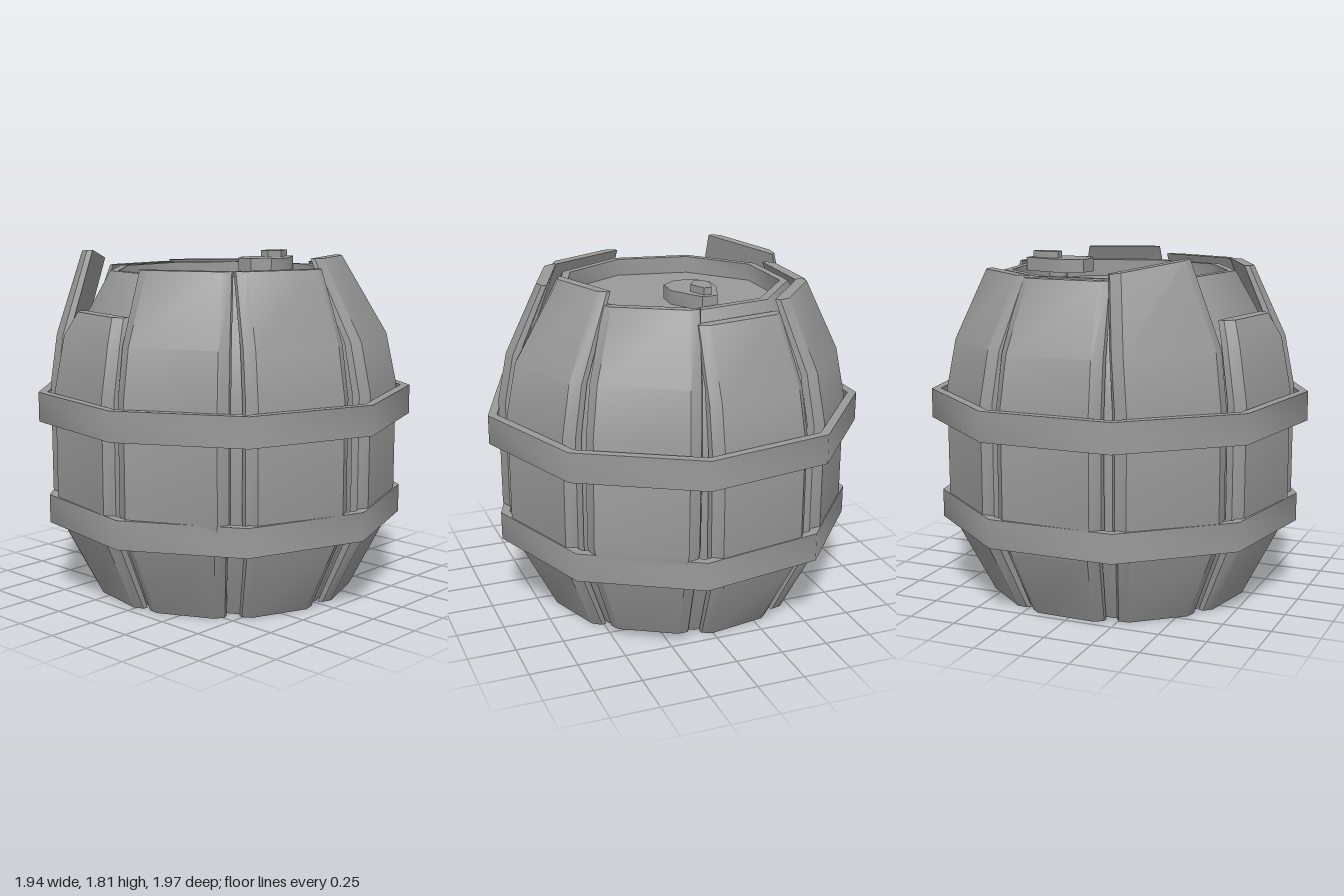
import * as THREE from 'three';
import { toCreasedNormals } from 'three/addons/utils/BufferGeometryUtils.js';

const SIDES = 9;
const PIVOT = 0.8;
const HEIGHT = 1.74;
const material = new THREE.MeshStandardMaterial({ color: 0x9a9a9a });
const shellMaterial = new THREE.MeshStandardMaterial({ color: 0x9a9a9a, side: THREE.DoubleSide });

function addMesh(parent, name, geometry, mat = material, crease = 0.73) {
  const mesh = new THREE.Mesh(toCreasedNormals(geometry, crease), mat);
  mesh.name = name;
  parent.add(mesh);
  return mesh;
}

// Nine-sided shape of revolution; radii are given to the flat sides
function ninegon(profile) {
  const k = 1 / Math.cos(Math.PI / SIDES);
  const points = profile.map(([r, y]) => new THREE.Vector2(r * k, y));
  return new THREE.LatheGeometry(points, SIDES, Math.PI / 2);
}

// Bevelled plank lofted through rows of
// [height, distance from axis, half width, sideways shift, sideways slope]
function plank(rows) {
  const positions = [], index = [], n = 6;
  for (const [y, r, half, shift = 0, slope = 0] of rows) {
    const face = half - 0.045, thick = r * 0.1 - 0.01;
    const edge = r - thick * 0.55, inner = r - thick;
    const ring = [[face, r], [half, edge], [half, inner], [-half, inner], [-half, edge], [-face, r]];
    for (const [x, z] of ring) positions.push(x + shift, y + x * slope - PIVOT, z);
  }
  for (let j = 0; j < rows.length - 1; j++) {
    for (let i = 0; i < n; i++) {
      const a = j * n + i, b = j * n + (i + 1) % n;
      index.push(a, b, b + n, a, b + n, a + n);
    }
  }
  const top = (rows.length - 1) * n;
  for (let i = 1; i < n - 1; i++) {
    index.push(top, top + i, top + i + 1, 0, i + 1, i);
  }
  const geometry = new THREE.BufferGeometry();
  geometry.setAttribute('position', new THREE.Float32BufferAttribute(positions, 3));
  geometry.setIndex(index);
  return geometry;
}

// Flat plate with its outline in [x, z]
function plate(outline, y0, y1) {
  const shape = new THREE.Shape(outline.map(([x, z]) => new THREE.Vector2(x, -z)));
  const geometry = new THREE.ExtrudeGeometry(shape, { depth: y1 - y0, bevelEnabled: false });
  return geometry.rotateX(-Math.PI / 2).translate(0, y0, 0);
}

export function createModel() {
  const model = new THREE.Group();
  model.name = 'barrel';
  const barrel = new THREE.Group();
  barrel.name = 'barrelBody';
  barrel.position.x = -0.03;
  model.add(barrel);

  // Hollow inner cask, open below, with a recessed lid
  addMesh(barrel, 'innerCask', ninegon([
    [0.62, 0.01], [0.775, 0.37], [0.805, 0.55], [0.805, 1.12], [0.755, 1.38], [0.575, 1.71],
  ]), shellMaterial);
  addMesh(barrel, 'lid', ninegon([
    [0.575, 1.71], [0.535, 1.71], [0.535, 1.62], [0, 1.62],
  ]), shellMaterial);

  // Staves, one per side, each a little out of place
  const lower = [[0, 0.68, 0.2], [0.37, 0.86, 0.255], [0.55, 0.895, 0.28], [1.12, 0.895, 0.28]];
  const fullRows = [...lower, [1.38, 0.845, 0.27], [HEIGHT, 0.68, 0.235]];
  const brokenRows = [...lower, [1.39, 0.845, 0.265], [1.51, 0.79, 0.215]];
  const sprungRows = [...lower, [1.38, 0.86, 0.275, -0.01], [1.78, 0.74, 0.2, -0.06, 0.16]];
  const tallRows = [...lower, [1.38, 0.84, 0.27], [1.785, 0.61, 0.2]];
  const staves = [
    { angle: 22 },
    { angle: 63.5 },
    { angle: 101.5, rows: brokenRows },
    { angle: 141, rows: sprungRows },
    { angle: 181.5, top: 1.71 },
    { angle: 220, top: 1.72 },
    { angle: 260, top: 1.66 },
    { angle: 300, top: 1.69, lean: -0.055 },
    { angle: 340, rows: tallRows },
  ];
  for (const { angle, rows = fullRows, top = HEIGHT, lean = 0 } of staves) {
    const holder = new THREE.Group();
    holder.name = 'staveHolder';
    holder.rotation.y = Math.PI / 2 - THREE.MathUtils.degToRad(angle);
    barrel.add(holder);
    const placed = rows.map(([y, ...rest]) => [y * top / HEIGHT, ...rest]);
    const stave = addMesh(holder, 'stave', plank(placed), material, 0.6);
    stave.position.y = PIVOT;
    stave.rotation.x = lean;
  }

  // Two hoops
  for (const [name, r, y0, y1] of [['upperHoop', 0.942, 0.935, 1.09], ['lowerHoop', 0.9, 0.39, 0.54]]) {
    const inner = r - 0.045;
    addMesh(barrel, name, ninegon([[inner, y0], [r, y0], [r, y1], [inner, y1], [inner, y0]]));
  }

  // Stopper on the lid
  const stem = new THREE.CylinderGeometry(0.05, 0.05, 0.08, SIDES);
  addMesh(model, 'stopperStem', stem.translate(-0.01, 1.655, -0.37));
  addMesh(model, 'stopperBase', plate([
    [-0.07, -0.53], [0.01, -0.53], [0.11, -0.36], [0.1, -0.24],
    [0.015, -0.17], [-0.09, -0.185], [-0.14, -0.265], [-0.13, -0.37],
  ], 1.685, 1.755));
  addMesh(model, 'stopperKnob', plate([
    [-0.05, -0.5], [-0.01, -0.5], [0.025, -0.41], [-0.015, -0.345],
    [-0.065, -0.345], [-0.08, -0.41],
  ], 1.75, 1.79));

  return model;
}
